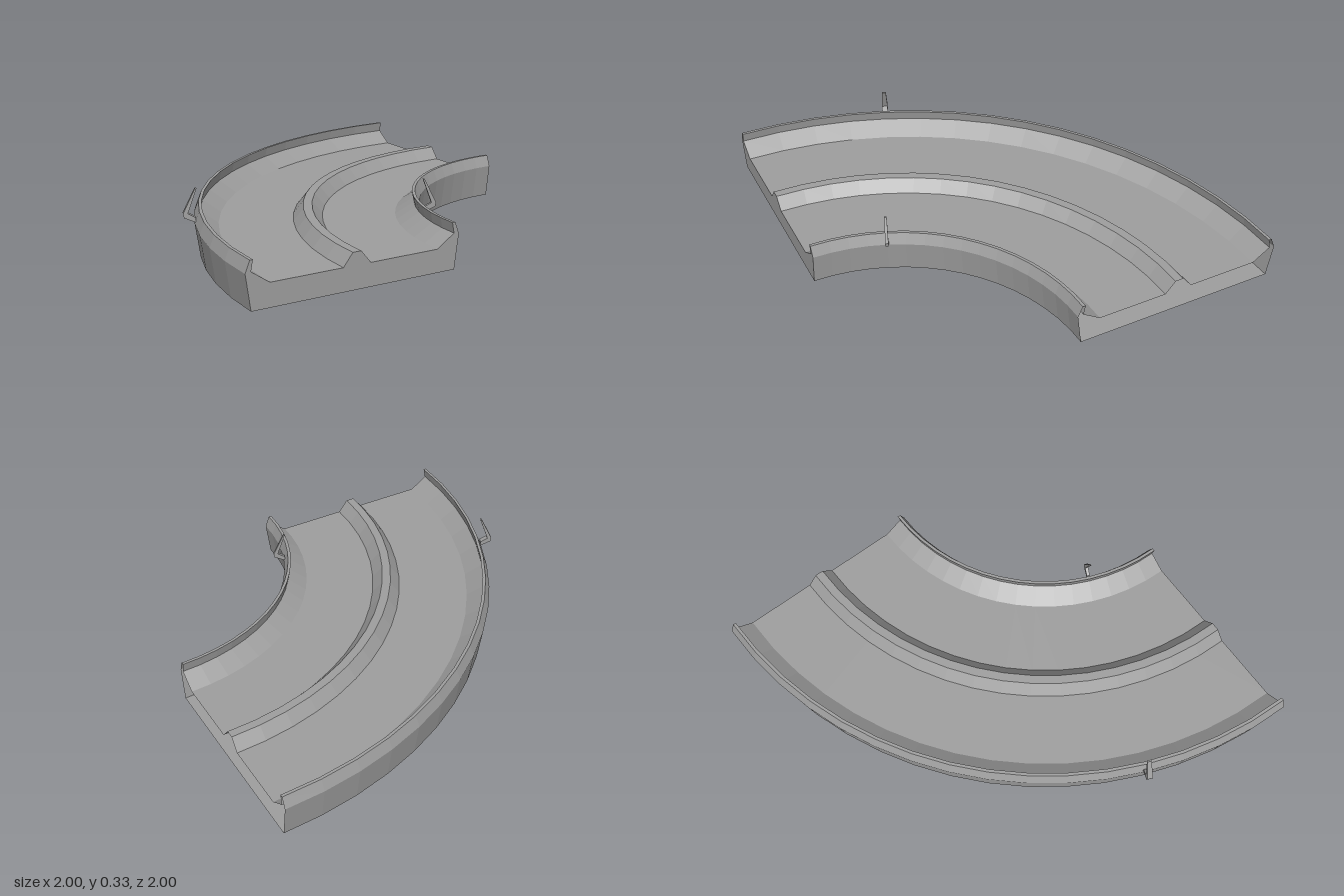
import * as THREE from 'three';

const CENTRE = 1; // the bend turns about (1, 0, 1)
const SEGMENTS = 16;

// Cross-section of the channel as [radius, height], counter-clockwise
const PROFILE = [
  [1.975, 0], [2, 0.165], [1.978, 0.22], [1.963, 0.22], [1.973, 0.17], [1.885, 0.11],
  [1.53, 0.11], [1.483, 0.17], [1.44, 0.17], [1.39, 0.11],
  [1.037, 0.11], [0.947, 0.17], [0.957, 0.22], [0.942, 0.22], [0.92, 0.165], [0.942, 0],
];

// Bracket: short foot from the wall, then a post leaning back over the rim
const BRACKET = [
  [-0.006, 0.172], [0.048, 0.195], [0.052, 0.215], [-0.004, 0.33],
  [-0.012, 0.33], [0.03, 0.215], [-0.006, 0.195],
];

const toShape = (points, sx = 1) =>
  new THREE.Shape(points.map(([x, y]) => new THREE.Vector2(x * sx, y)));

export function createModel() {
  const group = new THREE.Group();
  const material = new THREE.MeshStandardMaterial({
    color: 0x9e9e9e, flatShading: true, side: THREE.DoubleSide,
  });
  const add = (name, geometry, x, z, turn = 0) => {
    const mesh = new THREE.Mesh(geometry, material);
    mesh.name = name;
    mesh.position.set(x, 0, z);
    mesh.rotation.y = turn;
    group.add(mesh);
  };

  // Quarter-turn two-lane channel: a hollow shell, open at its side end
  const loop = [...PROFILE, PROFILE[0]].map(([r, y]) => new THREE.Vector2(r, y));
  add('curvedTrack', new THREE.LatheGeometry(loop, SEGMENTS, Math.PI, Math.PI / 2), CENTRE, CENTRE);

  // Flat wall closing the front end
  add('frontEnd', new THREE.ShapeGeometry(toShape(PROFILE, -1)), CENTRE, CENTRE);

  // One bracket on the outer wall, one on the inner wall
  const angle = Math.PI / 8;
  const addBracket = (name, radius, width, turn) => {
    const geometry = new THREE.ExtrudeGeometry(toShape(BRACKET), { depth: width, bevelEnabled: false });
    geometry.translate(0, 0, -width / 2);
    // Narrow the top of the post
    const p = geometry.attributes.position;
    for (let i = 0; i < p.count; i++) if (p.getY(i) > 0.3) p.setZ(i, p.getZ(i) * 0.7);
    add(name, geometry, CENTRE - radius * Math.cos(angle), CENTRE - radius * Math.sin(angle), turn);
  };
  addBracket('outerBracket', 2, 0.03, Math.PI - angle);
  addBracket('innerBracket', 0.92, 0.016, -angle);

  return group;
}
